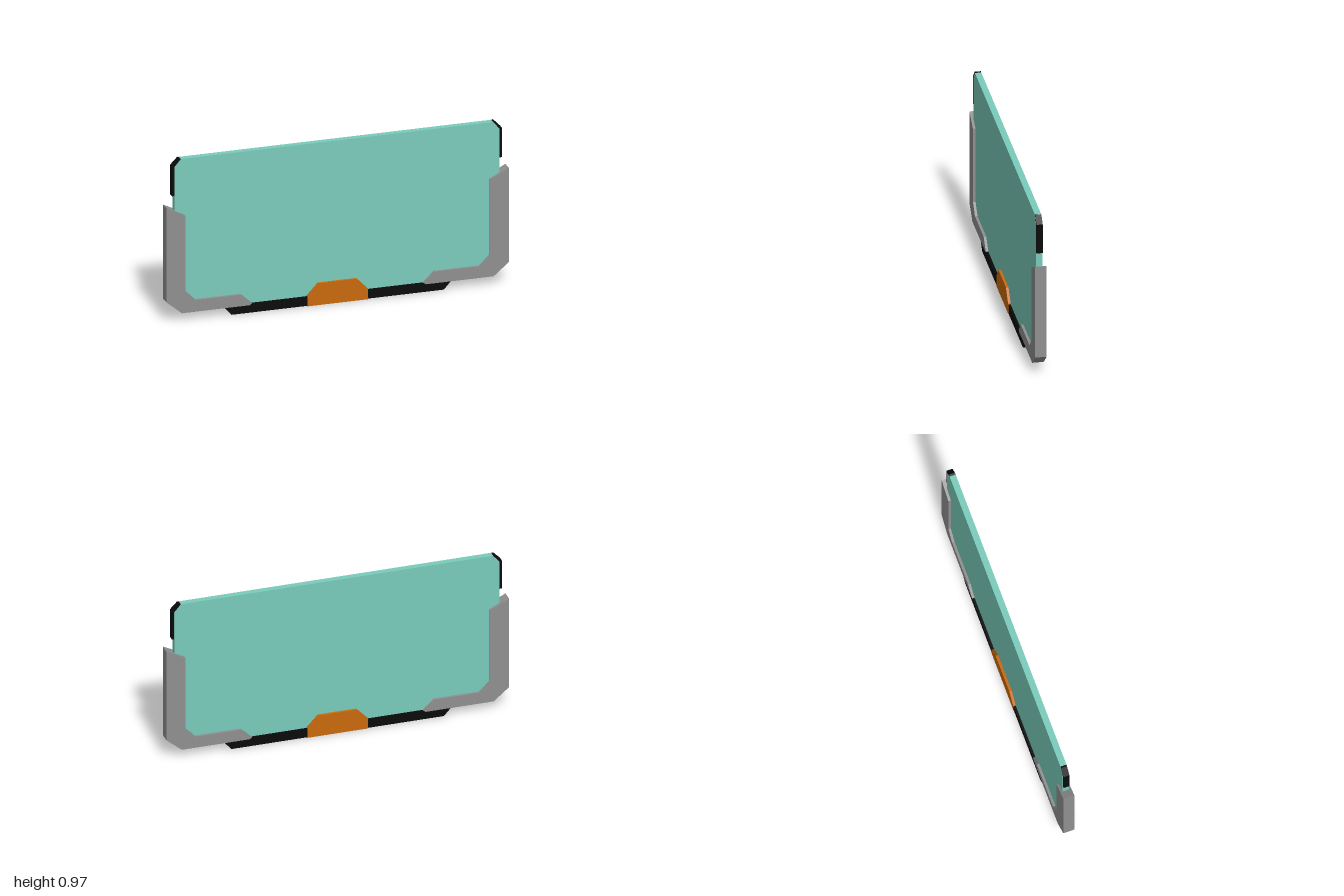
import * as THREE from 'three';

const teal = new THREE.MeshStandardMaterial({ color: 0x7accbc });
teal.name = 'teal panel';
const grey = new THREE.MeshStandardMaterial({ color: 0x909090 });
grey.name = 'grey frame';
const black = new THREE.MeshStandardMaterial({ color: 0x0a0a0a });
black.name = 'black trim';
const orange = new THREE.MeshStandardMaterial({ color: 0xca6a0c });
orange.name = 'orange clasp';

// Flat plate from an outline, centred on z = 0
function plate(name, points, halfDepth, material) {
  const shape = new THREE.Shape(points.map(([x, y]) => new THREE.Vector2(x, y)));
  const geometry = new THREE.ExtrudeGeometry(shape, { depth: halfDepth * 2, bevelEnabled: false });
  geometry.translate(0, 0, -halfDepth);
  const mesh = new THREE.Mesh(geometry, material);
  mesh.name = name;
  return mesh;
}

// Completes a right-half outline with its mirror image
const mirrored = (half) => [...half, ...half.map(([x, y]) => [-x, y]).reverse()];

export function createModel() {
  const model = new THREE.Group();
  model.name = 'shieldPanel';

  // Main panel with chamfered corners
  model.add(plate('panel', mirrored([[0.87, 0.052], [0.95, 0.13], [0.95, 0.92], [0.91, 0.965]]), 0.018, teal));

  // Base strip and central clasp
  model.add(plate('baseStrip', mirrored([[0.62, 0.003], [0.66, 0.048], [0.5, 0.048], [0.5, 0.056]]), 0.031, black));
  model.add(plate('clasp', mirrored([[0.177, 0], [0.177, 0.062], [0.112, 0.13]]), 0.0325, orange));

  for (const [side, s] of [['left', 1], ['right', -1]]) {
    const flip = (points) => points.map(([x, y]) => [x * s, y]);

    // Angular corner bracket
    model.add(plate(side + 'Bracket', flip([
      [0.5, 0.058], [0.515, 0.048], [0.91, 0.048], [1, 0.123], [1, 0.685],
      [0.89, 0.63], [0.89, 0.178], [0.83, 0.118], [0.565, 0.118],
    ]), 0.0325, grey));

    // Thin edge trim, wrapping round the upper corner
    model.add(plate(side + 'EdgeTrim', flip([
      [0.95, 0.748], [0.963, 0.748], [0.963, 0.925], [0.922, 0.967], [0.912, 0.964], [0.95, 0.92],
    ]), 0.0175, black));
  }
  return model;
}
